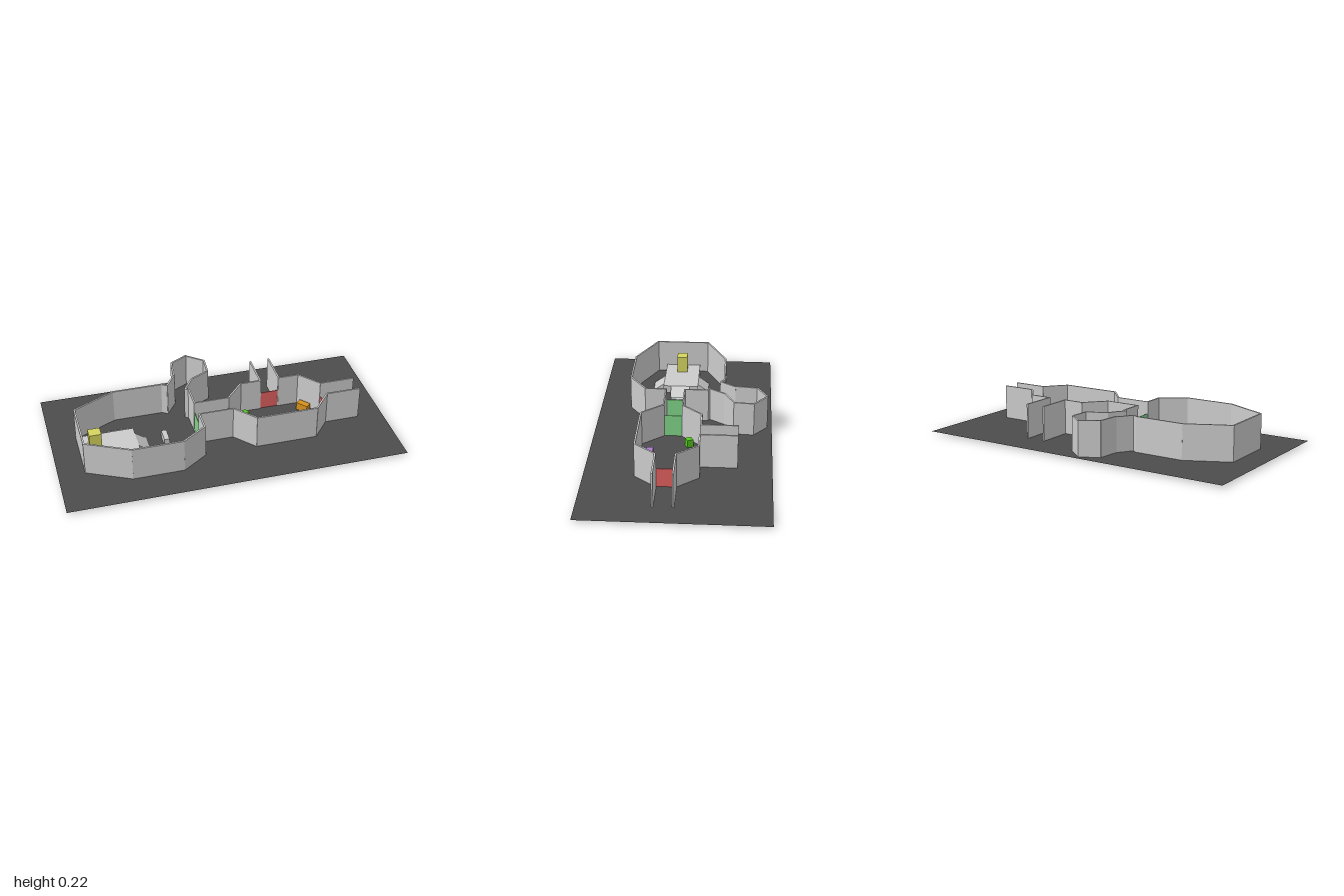
import * as THREE from 'three';

const FLOOR = 0.013, TOP = 0.221;

export function createModel() {
  const model = new THREE.Group();
  const mat = (color = 0xcccccc) =>
    new THREE.MeshStandardMaterial({ color, flatShading: true });
  const grey = mat();

  const add = (name, geometry, material, parent = model) => {
    const mesh = new THREE.Mesh(geometry, material);
    mesh.name = name;
    parent.add(mesh);
    return mesh;
  };

  // Box given by its extents on each axis
  const block = (name, [x0, x1], [y0, y1], [z0, z1], material, turn = 0) => {
    const mesh = add(name, new THREE.BoxGeometry(x1 - x0, y1 - y0, z1 - z0), material);
    mesh.position.set((x0 + x1) / 2, (y0 + y1) / 2, (z0 + z1) / 2);
    mesh.rotation.y = turn;
    return mesh;
  };

  // Upright slabs along a path of [x, z] points
  const wallRun = (name, points, top = TOP, thick = 0.01) => {
    const run = new THREE.Group();
    run.name = name;
    model.add(run);
    for (let i = 0; i < points.length - 1; i++) {
      const [ax, az] = points[i], [bx, bz] = points[i + 1];
      const length = Math.hypot(bx - ax, bz - az);
      const slab = add('wallPanel', new THREE.BoxGeometry(length + 0.004, top - FLOOR, thick), grey, run);
      slab.position.set((ax + bx) / 2, (top + FLOOR) / 2, (az + bz) / 2);
      slab.rotation.y = -Math.atan2(bz - az, bx - ax);
    }
  };

  // Ground sheet
  const ground = add('ground', new THREE.PlaneGeometry(2, 1.06),
    new THREE.MeshStandardMaterial({ color: 0x4c4c4c, side: THREE.DoubleSide }));
  ground.rotation.x = -Math.PI / 2;
  ground.position.y = FLOOR;

  // Large hall, from the side chamber round to the corridor
  wallRun('hallWall', [
    [-0.262, -0.216], [-0.292, -0.236], [-0.59, -0.236], [-0.84, -0.115], [-0.84, 0.215],
    [-0.59, 0.338], [-0.292, 0.338], [-0.145, 0.237], [-0.145, 0.113],
  ]);
  wallRun('hallCornerWall', [[-0.145, 0.0], [-0.145, -0.14], [-0.165, -0.151]]);

  // Small side chamber and its passage
  wallRun('chamberWall', [
    [-0.165, -0.151], [-0.102, -0.245], [0.012, -0.303], [0.02, -0.418], [-0.077, -0.497],
  ]);
  wallRun('chamberOuterWall', [[-0.077, -0.497], [-0.183, -0.439], [-0.198, -0.308]], 0.224);
  wallRun('chamberPassageWall', [[-0.198, -0.308], [-0.262, -0.216]]);

  // Corridor, octagonal room and its two exits
  wallRun('corridorBackWall', [[-0.145, 0.0], [0.062, 0.0]], TOP, 0.008);
  wallRun('corridorFrontWall', [[-0.145, 0.113], [0.062, 0.113]], TOP, 0.008);
  wallRun('roomBackLeftWall', [[0.062, 0.0], [0.17, -0.118], [0.295, -0.118], [0.295, -0.331]]);
  wallRun('roomBackRightWall', [
    [0.412, -0.331], [0.412, -0.118], [0.535, -0.118], [0.637, 0.003], [0.845, 0.003],
  ]);
  wallRun('roomFrontWall', [
    [0.845, 0.115], [0.637, 0.115], [0.535, 0.237], [0.17, 0.237], [0.062, 0.113],
  ]);

  // Doors
  const greenDoor = mat(0x80d488), redDoor = mat(0xe06060);
  for (const x of [-0.145, 0.06]) {
    block('corridorDoor', [x - 0.002, x + 0.002], [FLOOR, 0.147], [0.004, 0.11], greenDoor);
  }
  block('sideExitDoor', [0.635, 0.64], [0, 0.126], [0.011, 0.111], redDoor);
  block('backExitDoor', [0.3, 0.407], [0, 0.126], [-0.123, -0.118], redDoor);

  // Raised platform with a ramp on three sides
  const stageTop = 0.06, stageBase = 0.006;
  block('platform', [-0.83, -0.508], [stageBase, stageTop], [-0.062, 0.157], grey);
  const ramp = (x, z, width, turn) => {
    const run = 0.07;
    const profile = new THREE.Shape([
      new THREE.Vector2(0, stageBase), new THREE.Vector2(run, stageBase),
      new THREE.Vector2(run, stageBase + 0.004), new THREE.Vector2(0, stageTop),
    ]);
    const geometry = new THREE.ExtrudeGeometry(profile, { depth: width, bevelEnabled: false });
    geometry.translate(0, 0, -width / 2);
    const mesh = add('ramp', geometry, grey);
    mesh.position.set(x, 0, z);
    mesh.rotation.y = turn;
  };
  ramp(-0.508, 0.05, 0.12, 0);
  ramp(-0.594, -0.062, 0.118, Math.PI / 2);
  ramp(-0.594, 0.157, 0.118, -Math.PI / 2);

  // Loose blocks
  const low = [0.007, 0.06];
  block('bench', [-0.353, -0.322], low, [0.005, 0.097], grey);
  block('yellowPillar', [-0.79, -0.718], [FLOOR, 0.164], [0.018, 0.083], mat(0xd4d460));
  block('blueBlock', [-0.112, -0.071], low, [-0.39, -0.35], mat(0x18bcd4));
  block('purpleBlock', [0.29, 0.403], [0.004, 0.06], [0.155, 0.195], mat(0xb07cd4));
  block('greenBlock', [0.16, 0.198], low, [-0.064, -0.026], mat(0x52c81e), 0.45);
  block('orangeBlock', [0.512, 0.586], low, [-0.056, -0.016], mat(0xd4901c), -0.87);

  return model;
}
